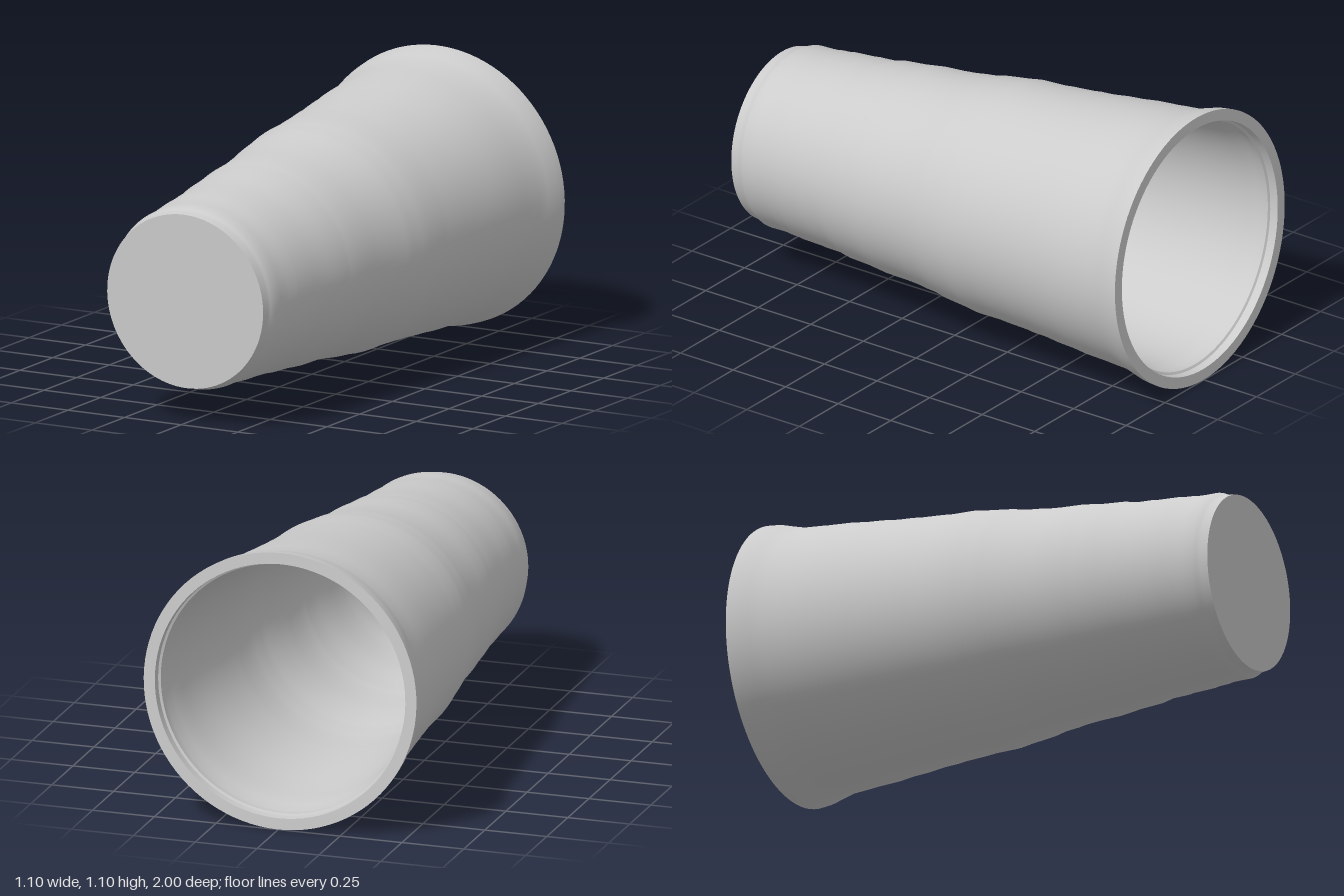
import * as THREE from 'three';

// Outer wall: [distance from the base, radius], an uneven series of shallow steps
const WALL = [
  [0, 0.343], [0.03, 0.347], [0.045, 0.351], [0.065, 0.361], [0.11, 0.361], [0.16, 0.363],
  [0.17, 0.366], [0.22, 0.369], [0.23, 0.372], [0.32, 0.376], [0.34, 0.379], [0.415, 0.382],
  [0.465, 0.393], [0.56, 0.400], [0.58, 0.403], [0.64, 0.411], [0.73, 0.415], [0.80, 0.421],
  [0.83, 0.426], [0.89, 0.432], [0.94, 0.443], [0.98, 0.448], [1.04, 0.455], [1.09, 0.463],
  [1.19, 0.465], [1.23, 0.469], [1.33, 0.475], [1.36, 0.479], [1.42, 0.482], [1.49, 0.491],
  [1.56, 0.496], [1.62, 0.504], [1.72, 0.510], [1.75, 0.513], [1.83, 0.519], [1.88, 0.532],
  [1.93, 0.546], [1.969, 0.550],
];
const LENGTH = 1.969, FLOOR = 0.05, THICKNESS = 0.033, SEGMENTS = 96;

export function createModel() {
  const model = new THREE.Group();
  const cup = new THREE.Group();
  cup.name = 'cup';
  const grey = new THREE.MeshStandardMaterial({ color: 0xcccccc });
  grey.name = 'grey plastic';

  const lathe = (name, profile) => {
    const points = profile.map(([y, r]) => new THREE.Vector2(r, y));
    const mesh = new THREE.Mesh(new THREE.LatheGeometry(points, SEGMENTS), grey);
    mesh.name = name;
    cup.add(mesh);
  };

  // Inside follows the ripples of the outside, running from the rim to the floor
  const inside = WALL.filter(([y]) => y > FLOOR && y < 1.9)
    .map(([y, r]) => [y, r - THICKNESS]).reverse();
  const floorRadius = inside[inside.length - 1][1];

  lathe('outerWall', WALL);
  lathe('base', [[0, 0], [0, WALL[0][1]]]);
  lathe('rim', [[LENGTH, 0.55], [LENGTH, 0.505]]);
  lathe('rimInnerEdge', [[LENGTH, 0.505], [1.935, 0.503]]);
  lathe('innerLip', [[1.935, 0.503], [1.93, 0.494]]);
  lathe('innerWall', [[1.93, 0.494], ...inside, [FLOOR, floorRadius]]);
  lathe('innerFloor', [[FLOOR, floorRadius], [FLOOR, 0]]);

  // Lay the cup on its side, base to the front, with a slight tilt
  const baseCentre = new THREE.Vector3(0.011, 0.487, 0.988);
  const rimCentre = new THREE.Vector3(-0.001, 0.554, -0.98);
  const axis = rimCentre.clone().sub(baseCentre).normalize();
  cup.quaternion.setFromUnitVectors(new THREE.Vector3(0, 1, 0), axis);
  cup.position.copy(baseCentre);

  model.add(cup);
  return model;
}
